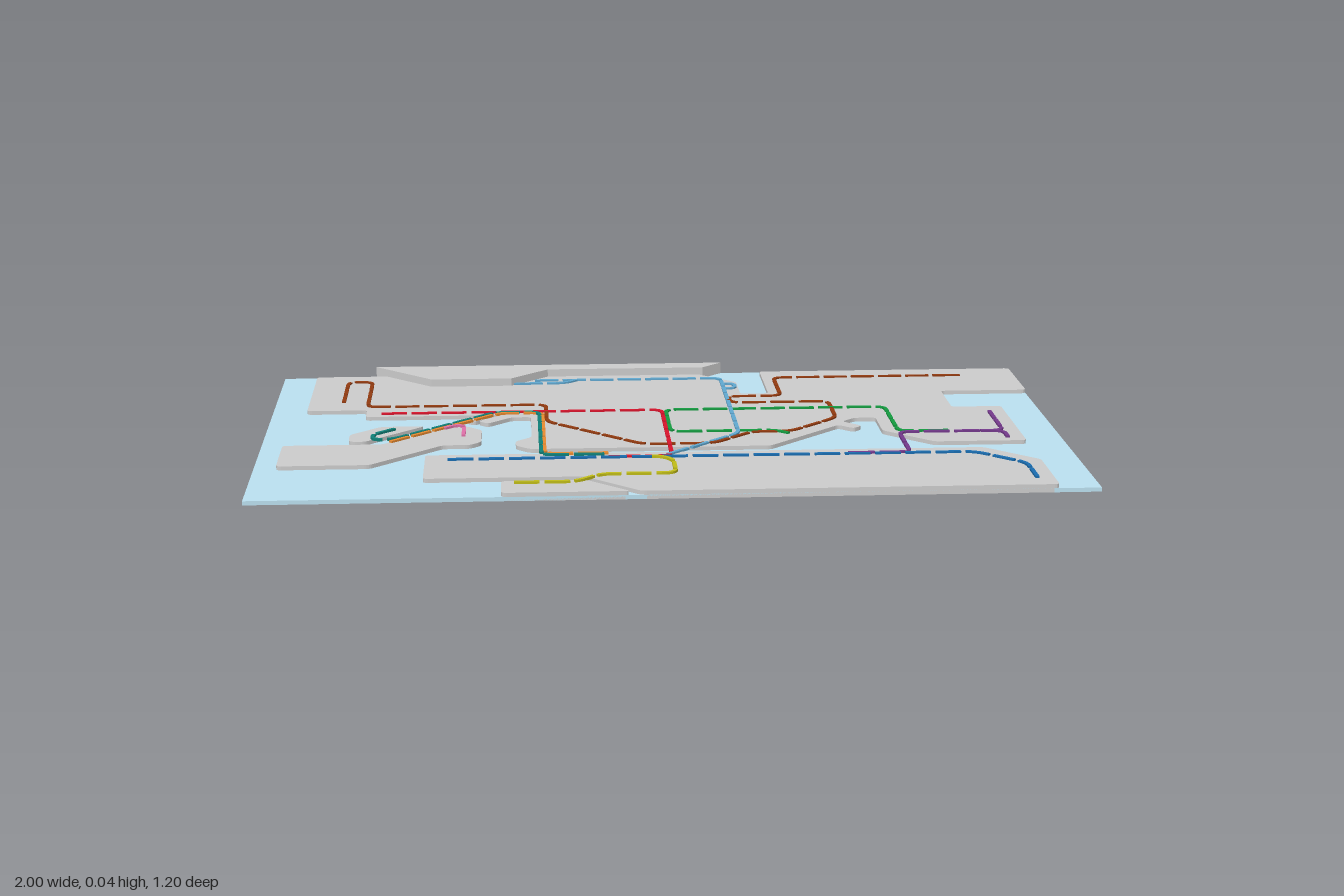
import * as THREE from 'three';
import { mergeGeometries } from 'three/addons/utils/BufferGeometryUtils.js';

const SEA_TOP = 0.01, LAND_TOP = 0.02, RIDGE_TOP = 0.04;

// Plan outline drawn only with straight and 45-degree moves; shape y is -z.
class Outline {
  constructor(x, z) { this.points = [new THREE.Vector2(x, -z)]; }
  get end() { return this.points[this.points.length - 1]; }
  push(x, y) { this.points.push(new THREE.Vector2(x, y)); return this; }
  h(x) { return this.push(x, this.end.y); }
  v(z) { return this.push(this.end.x, -z); }
  south(dx) { return this.push(this.end.x + dx, this.end.y - Math.abs(dx)); }
  north(dx) { return this.push(this.end.x + dx, this.end.y + Math.abs(dx)); }
}
const from = (x, z) => new Outline(x, z);

// Traces an outline onto a path, rounding each corner.
function trace(path, v, r, closed) {
  const n = v.length;
  const toward = (a, b) => a.clone().lerp(b, Math.min(0.5, r / a.distanceTo(b)));
  if (!closed) path.moveTo(v[0].x, v[0].y);
  for (let i = closed ? 0 : 1; i < (closed ? n : n - 1); i++) {
    const c = v[i], p = toward(c, v[(i + n - 1) % n]), q = toward(c, v[(i + 1) % n]);
    if (closed && i === 0) path.moveTo(p.x, p.y);
    else path.lineTo(p.x, p.y);
    path.quadraticCurveTo(c.x, c.y, q.x, q.y);
  }
  if (closed) path.closePath();
  else path.lineTo(v[n - 1].x, v[n - 1].y);
  return path;
}

// Extrudes a plan shape upward from y0 to y1.
function slab(shape, y0, y1) {
  const g = new THREE.ExtrudeGeometry(shape, { depth: y1 - y0, bevelEnabled: false, curveSegments: 4 });
  return g.rotateX(-Math.PI / 2).translate(0, y0, 0);
}

// Splits a route into raised dashes with small gaps between them.
function dashedRoute(outline, top) {
  const path = trace(new THREE.Path(), outline.points, 0.03, false);
  const length = path.getLength(), half = 0.005, gap = 0.012;
  const count = Math.max(1, Math.round(length / 0.075));
  const dashes = [];
  for (let i = 0; i < count; i++) {
    const u0 = i / count, u1 = (i + 1) / count - (i < count - 1 ? gap / length : 0);
    const left = [], right = [];
    for (let k = 0; k <= 8; k++) {
      const u = u0 + (u1 - u0) * k / 8;
      const p = path.getPoint(u), t = path.getTangent(u);
      left.push(new THREE.Vector2(p.x - t.y * half, p.y + t.x * half));
      right.unshift(new THREE.Vector2(p.x + t.y * half, p.y - t.x * half));
    }
    dashes.push(slab(new THREE.Shape([...left, ...right]), LAND_TOP - 0.001, top));
  }
  return mergeGeometries(dashes);
}

export function createModel() {
  const model = new THREE.Group();
  model.name = 'transitMap';
  const add = (name, geometry, color) => {
    const mesh = new THREE.Mesh(geometry, new THREE.MeshStandardMaterial({ color }));
    mesh.name = name;
    model.add(mesh);
  };
  const land = (name, outline) =>
    add(name, slab(trace(new THREE.Shape(), outline.points, 0.012, true), 0, LAND_TOP), 0xcccccc);

  // Each route sits a hair higher than the last so crossings stay clean
  let routeTop = LAND_TOP + 0.004;
  const route = (name, color, ...branches) => {
    add(name, mergeGeometries(branches.map((b) => dashedRoute(b, routeTop))), color);
    routeTop += 0.0002;
  };

  // Water plate
  add('sea', new THREE.BoxGeometry(2, SEA_TOP, 1.2).translate(0, SEA_TOP / 2, 0), 0xbbe0f0);

  // Mainland: north coast, east bay, harbour, then the west coast
  land('mainland', from(-0.91, -0.57).h(0.11).south(0.12).v(-0.32).h(0.305).v(-0.57).h(1)
    .v(-0.32).h(0.77).v(-0.147).h(0.9).v(0.2).h(0.67).north(-0.115).v(-0.045).h(0.5)
    .south(-0.035).south(0.045).south(-0.025).north(-0.035).south(-0.19)
    .h(-0.335).north(-0.035).v(0.14).north(0.04).v(-0.1).h(-0.38)
    .south(-0.06).north(-0.025).north(0.06).h(-0.755).v(-0.195).h(-0.91));

  // Islands
  land('westIsland', from(-0.945, 0.15).h(-0.7).north(0.165).h(-0.495).south(0.04).v(0.14)
    .south(-0.028).h(-0.55).south(-0.172).h(-0.945));
  land('airfieldIsland', from(-0.785, 0.053).north(0.075).h(-0.6).south(-0.144).h(-0.775).north(-0.01));
  land('smallIslet', from(-0.495, -0.08).north(0.025).south(0.02).south(-0.025));
  land('southIsland', from(-0.59, 0.26).h(0.78).south(0.12).v(0.6).h(-0.08).north(-0.13).h(-0.59));
  land('southIslet', from(-0.405, 0.6).v(0.5).h(-0.205).south(0.1));

  // Taller block along the back edge
  const ridge = from(-0.75, -0.6).south(0.155).h(-0.38).north(0.1).h(0.145).north(0.055);
  add('northRidge', slab(new THREE.Shape(ridge.points), SEA_TOP, RIDGE_TOP), 0xcccccc);

  // Coloured routes
  route('brownRoute', 0x923a10, from(-0.82, -0.28).v(-0.5).h(-0.755).v(-0.222).h(-0.29).v(-0.045)
    .south(0.235).h(0.12).north(0.105).h(0.323).north(0.13).v(-0.217).h(0.195).v(-0.285)
    .h(0.335).v(-0.49).h(0.85));
  route('redRoute', 0xd8142c, from(-0.715, -0.15).h(0.01).v(0.302).h(-0.145));
  route('greenRoute', 0x149a40,
    from(0.315, 0.105).north(-0.032).h(0.02).v(-0.15).h(0.593).v(0.1).h(0.72));
  route('skyRoute', 0x60a8d0,
    from(-0.375, -0.457).h(-0.235).north(0.033),
    from(-0.315, -0.49).h(0.19).v(0.1).south(-0.19),
    from(0.19, -0.425).h(0.222).v(-0.372).h(0.19));
  route('blueRoute', 0x1a6db0, from(-0.535, 0.308).h(0.75).south(0.108).v(0.545));
  route('purpleRoute', 0x74398c,
    from(0.44, 0.302).h(0.593).v(0.11).h(0.858).v(-0.085),
    from(0.8, 0.112).h(0.858).v(0.172));
  route('orangeRoute', 0xe88a30, from(-0.68, 0.135).north(0.27).h(-0.3).v(0.27).h(-0.145));
  route('tealRoute', 0x108078,
    from(-0.675, 0.012).south(-0.052).v(0.112).h(-0.676).north(0.254).h(-0.308).v(0.28).h(-0.155));
  route('pinkRoute', 0xe070a8, from(-0.55, 0.012).north(0.025).h(-0.5).v(0.085));
  route('yellowRoute', 0xc0bc18,
    from(-0.375, 0.522).h(-0.23).north(0.062).h(0.01).v(0.34).north(-0.03).h(-0.04));
  return model;
}
